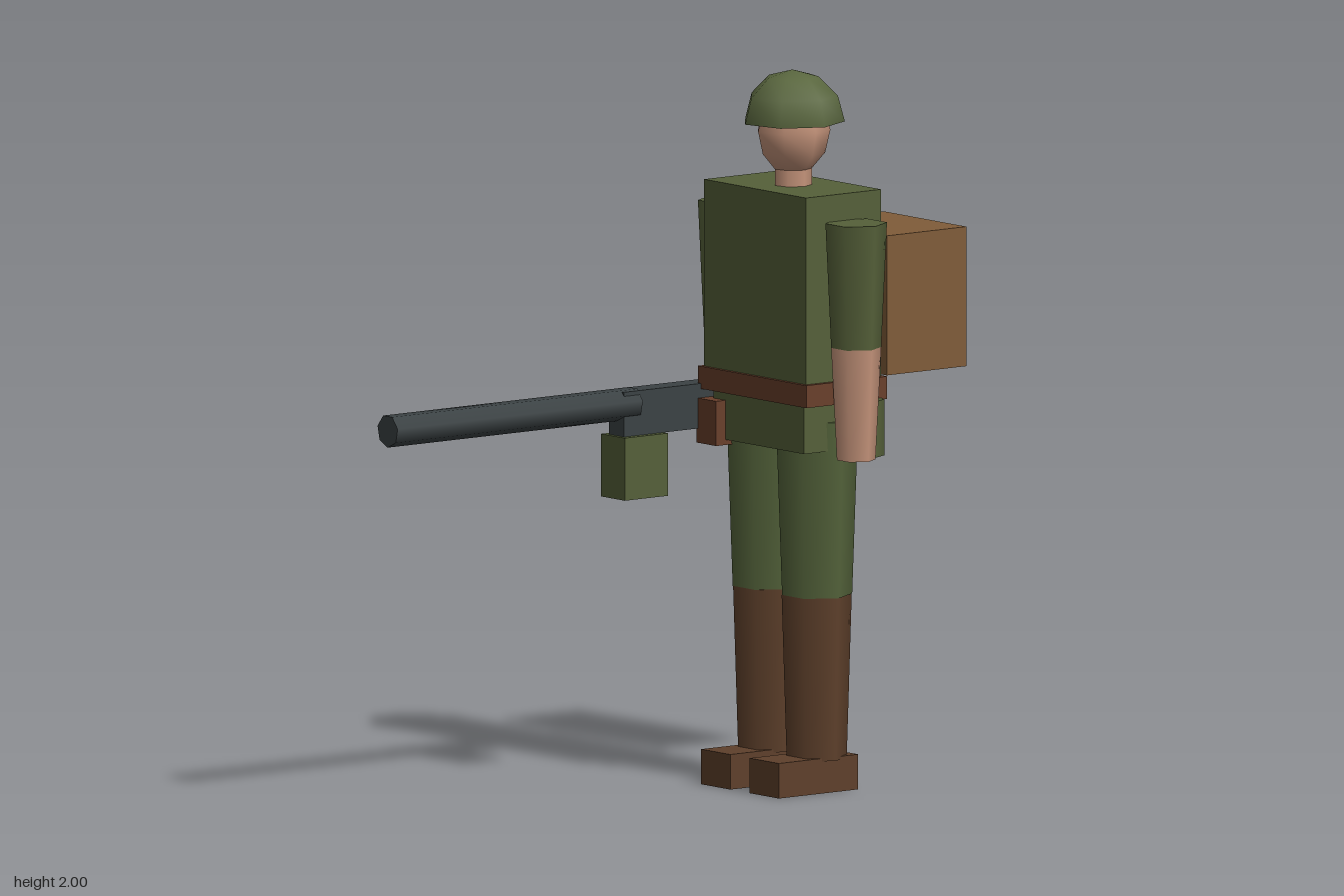
import * as THREE from 'three';

const mat = (name, color) => Object.assign(new THREE.MeshStandardMaterial({ color }), { name });

export function createModel() {
  const jacket = mat('jacket green', 0x556039);
  const cloth = mat('trouser green', 0x53623a);
  const helmetGreen = mat('helmet green', 0x5a673f);
  helmetGreen.side = THREE.DoubleSide;
  const skin = mat('skin', 0xc4937a);
  const leather = mat('boot brown', 0x5e402b);
  const strap = mat('belt brown', 0x693f2b);
  const canvas = mat('pack tan', 0x805c39);
  const metal = mat('gun metal', 0x3b4244);

  const model = new THREE.Group();
  model.name = 'soldier';
  const Z = -0.377; // body axis

  const add = (name, geometry, material, x, y, z) => {
    const mesh = new THREE.Mesh(geometry, material);
    mesh.name = name;
    mesh.position.set(x, y, z);
    model.add(mesh);
    return mesh;
  };
  // box from its minimum and maximum along each axis
  const box = (name, material, [x0, x1], [y0, y1], [z0, z1]) =>
    add(name, new THREE.BoxGeometry(x1 - x0, y1 - y0, z1 - z0), material,
      (x0 + x1) / 2, (y0 + y1) / 2, (z0 + z1) / 2);
  // upright tapered column with a corner pointing to +x
  const column = (name, material, x, z, y0, y1, r0, r1, sides = 6) =>
    add(name, new THREE.CylinderGeometry(r1, r0, y1 - y0, sides, 1, false, Math.PI / 2),
      material, x, (y0 + y1) / 2, z);

  // torso
  box('torso', jacket, [-0.227, 0.227], [1.13, 1.68], [-0.51, -0.245]);
  box('hips', jacket, [-0.202, 0.202], [0.96, 1.13], [-0.497, -0.258]);
  box('belt', strap, [-0.241, 0.241], [1.095, 1.158], [-0.52, -0.235]);

  // head and helmet
  column('neck', skin, 0, Z, 1.66, 1.76, 0.054, 0.054, 7);
  const head = new THREE.SphereGeometry(0.105, 7, 6).rotateY(Math.PI).scale(1, 1.2, 1);
  add('head', head, skin, 0, 1.833, Z);
  const dome = new THREE.SphereGeometry(0.145, 7, 3, 0, Math.PI * 2, 0, Math.PI / 2).rotateY(Math.PI);
  add('helmet', dome, helmetGreen, 0, 1.856, Z);

  // limbs
  for (const [side, s] of [['left', 1], ['right', -1]]) {
    column(side + 'Sleeve', jacket, s * 0.284, Z, 1.257, 1.605, 0.07, 0.086);
    column(side + 'Forearm', skin, s * 0.284, Z, 0.943, 1.257, 0.054, 0.07);
    column(side + 'Trouser', cloth, s * 0.11, Z, 0.547, 1.04, 0.098, 0.115);
    column(side + 'Boot', leather, s * 0.108, Z, 0.09, 0.547, 0.084, 0.098);
    box(side + 'Foot', leather, [s * 0.108 - 0.065, s * 0.108 + 0.065], [0, 0.098], [-0.472, -0.192]);
  }

  // carried gear
  box('backpack', canvas, [-0.184, 0.184], [1.15, 1.54], [-0.845, -0.564]);
  box('pouch', strap, [-0.235, -0.148], [0.945, 1.07], [-0.325, -0.225]);
  column('canteen', jacket, 0.23, -0.447, 0.943, 1.1, 0.057, 0.057, 7);

  // gun held in the right hand
  box('receiver', metal, [-0.295, -0.228], [0.985, 1.11], [-0.36, 0.037]);
  const barrel = new THREE.CylinderGeometry(0.046, 0.046, 0.865, 7).rotateX(Math.PI / 2);
  add('barrel', barrel, metal, -0.26, 1.072, 0.4125);
  box('magazine', jacket, [-0.315, -0.21], [0.81, 0.985], [-0.104, 0.048]);

  return model;
}
